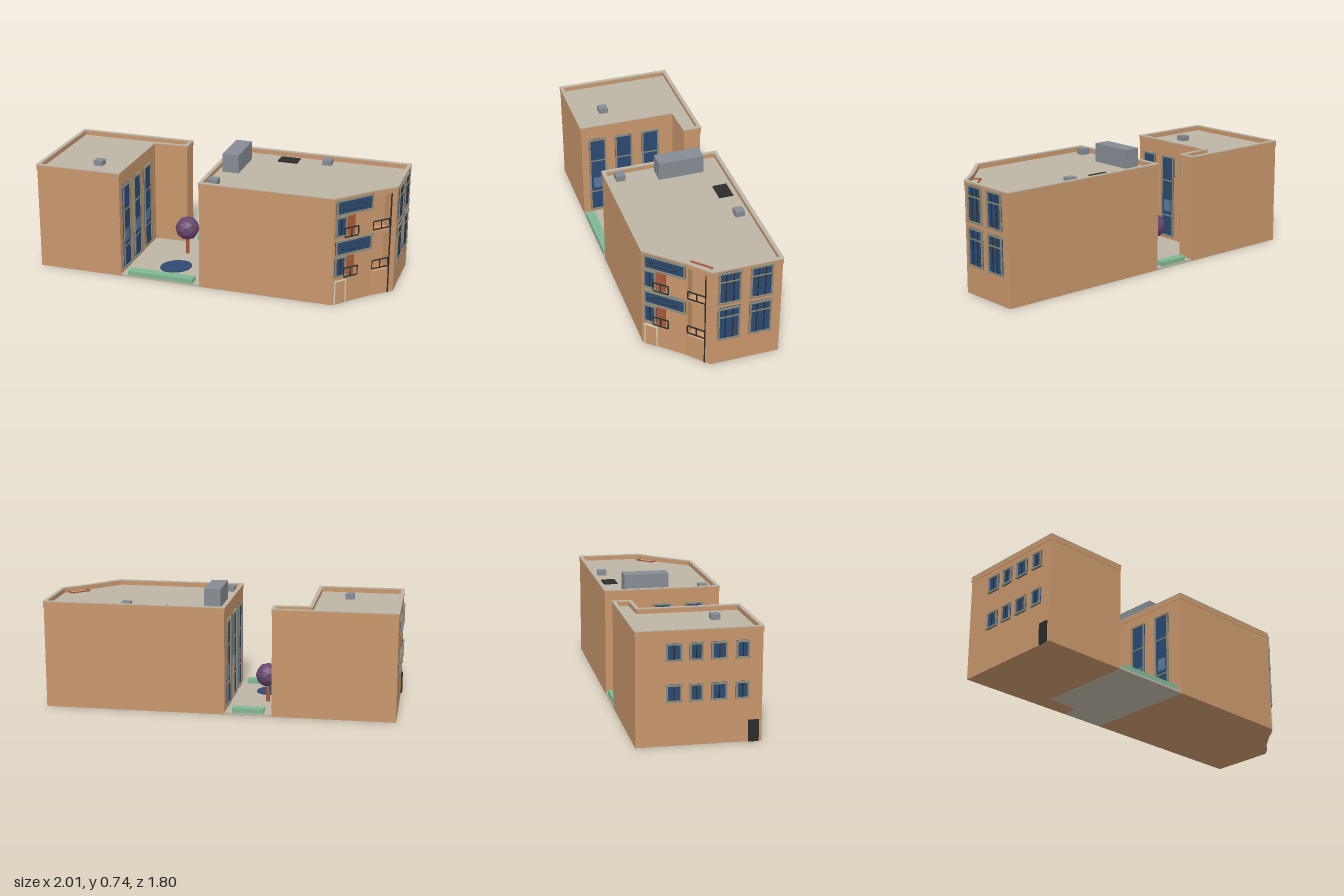
import * as THREE from 'three';

const mat = (color) => new THREE.MeshStandardMaterial({ color, flatShading: true });
const M = {
  brick: mat(0xc9976c), deck: mat(0xbdb5a5), glass: mat(0x2a4a73), pale: mat(0x5b7ba0),
  frame: mat(0x8f8b78), dark: mat(0x2c2c2a), metal: mat(0x868c94), green: mat(0x7fb893),
  door: mat(0xa8593a), shrub: mat(0x68466c), pond: mat(0x2f4a70), white: mat(0xd8cdb8),
};
const ROOF = 0.62, TOP = 0.655;

// Plans are lists of [x, z] corners
const BACK = [[-0.5, -0.9], [-1, -0.4], [-0.63, -0.03], [-0.21, -0.45], [-0.055, -0.305], [0.02, -0.38]];
const FRONT = [[-0.28, 0.32], [0.285, 0.885], [0.55, 0.872], [0.71, 0.88], [0.995, 0.595], [0.22, -0.18]];
const COURT = [[-0.63, -0.03], [-0.28, 0.32], [0.22, -0.18], [0.02, -0.38], [-0.055, -0.305], [-0.21, -0.45]];

// Moves every edge of a plan outward by d (inward when negative)
function offset(pts, d) {
  const n = pts.length;
  const area = pts.reduce((s, p, i) => s + p[0] * pts[(i + 1) % n][1] - pts[(i + 1) % n][0] * p[1], 0);
  const k = Math.sign(area);
  const normal = (a, b) => {
    const dx = b[0] - a[0], dz = b[1] - a[1], l = Math.hypot(dx, dz);
    return [k * dz / l, -k * dx / l];
  };
  return pts.map((p, i) => {
    const n1 = normal(pts[(i + n - 1) % n], p), n2 = normal(p, pts[(i + 1) % n]);
    const s = d / (1 + n1[0] * n2[0] + n1[1] * n2[1]);
    return [p[0] + (n1[0] + n2[0]) * s, p[1] + (n1[1] + n2[1]) * s];
  });
}

function prism(parent, name, pts, y0, y1, material, hole) {
  const vec = (list) => list.map(([x, z]) => new THREE.Vector2(x, -z));
  const shape = new THREE.Shape(vec(pts));
  if (hole) shape.holes.push(new THREE.Path(vec(hole)));
  const geo = new THREE.ExtrudeGeometry(shape, { depth: y1 - y0, bevelEnabled: false });
  geo.rotateX(-Math.PI / 2).translate(0, y0, 0);
  return add(parent, name, geo, material);
}

function add(parent, name, geo, material, x = 0, y = 0, z = 0) {
  const mesh = new THREE.Mesh(geo, material);
  mesh.name = name;
  mesh.position.set(x, y, z);
  parent.add(mesh);
  return mesh;
}

const box = (parent, name, w, h, d, x, y, z, material) =>
  add(parent, name, new THREE.BoxGeometry(w, h, d), material, x, y, z);

// Group lying on a wall: x runs from a to b, z points outward
function wall(parent, name, a, b) {
  const g = new THREE.Group();
  g.name = name;
  g.position.set(a[0], 0, a[1]);
  g.rotation.y = Math.atan2(a[1] - b[1], b[0] - a[0]);
  g.userData.length = Math.hypot(b[0] - a[0], b[1] - a[1]);
  parent.add(g);
  return g;
}

// Glazed window with frame, cols panes across, and crossbars at the given heights
function windowUnit(parent, x, y0, y1, w, cols = 1, bars = [], t = 0.01) {
  const g = new THREE.Group();
  g.name = 'window';
  g.position.x = x;
  parent.add(g);
  const h = y1 - y0, ym = (y0 + y1) / 2;
  box(g, 'glass', w, h, 0.008, 0, ym, 0.002, M.glass);
  for (const s of [-1, 1]) {
    box(g, 'jamb', t, h, 0.016, s * (w - t) / 2, ym, 0.003, M.frame);
    box(g, s < 0 ? 'sill' : 'lintel', w + 0.006, t, 0.02, 0, ym + s * (h - t) / 2, 0.003, M.frame);
  }
  for (let i = 1; i < cols; i++) box(g, 'mullion', 0.006, h, 0.014, w * (i / cols - 0.5), ym, 0.002, M.dark);
  for (const y of bars) box(g, 'crossbar', w, 0.007, 0.014, 0, y, 0.003, M.frame);
  return g;
}

// Open balcony railing
function railing(parent, x0, x1, y0, y1, z) {
  const w = x1 - x0, xm = (x0 + x1) / 2;
  for (const y of [y0, y1]) box(parent, 'rail', w, 0.006, 0.006, xm, y, z, M.dark);
  for (let i = 0; i <= 2; i++) box(parent, 'railPost', 0.005, y1 - y0, 0.005, x0 + w * i / 2, (y0 + y1) / 2, z, M.dark);
}

function block(parent, name, plan, body) {
  const g = new THREE.Group();
  g.name = name;
  parent.add(g);
  prism(g, 'walls', body, 0, ROOF, M.brick);
  prism(g, 'roofDeck', offset(plan, -0.01), ROOF - 0.006, ROOF + 0.003, M.deck);
  prism(g, 'parapet', offset(plan, 0.003), ROOF, TOP - 0.005, M.brick, offset(plan, -0.014));
  prism(g, 'coping', offset(plan, 0.005), TOP - 0.005, TOP, M.deck, offset(plan, -0.017));
  return g;
}

// Box turned to follow the building's long axis
function turned(parent, name, w, h, d, x, y, z, material) {
  const m = box(parent, name, w, h, d, x, y + h / 2, z, material);
  m.rotation.y = -Math.PI / 4;
  return m;
}

export function createModel() {
  const model = new THREE.Group();
  model.name = 'building';

  // Two wings; the front one has a balcony recess in its facade
  const back = block(model, 'backWing', BACK, BACK);
  const recess = [[0.56, 0.872], [0.56, 0.815], [0.67, 0.815], [0.67, 0.878]];
  const front = block(model, 'frontWing', FRONT, [...FRONT.slice(0, 3), ...recess, ...FRONT.slice(3)]);
  prism(front, 'recessBase', recess, 0, 0.15, M.brick);
  prism(front, 'balconyFloor', recess, 0.39, 0.405, M.brick);
  for (const y of [0.168, 0.412]) railing(front, 0.56, 0.67, y, y + 0.05, 0.872);
  box(front, 'recessPost', 0.006, 0.62, 0.006, 0.672, 0.31, 0.88, M.dark);
  box(front, 'roofCurb', 0.13, 0.008, 0.008, 0.615, 0.626, 0.815, M.door);
  for (const x of [0.553, 0.677]) box(front, 'roofCurb', 0.008, 0.008, 0.055, x, 0.626, 0.84, M.door);

  // Tall courtyard windows on the facing walls
  const courtWalls = [
    [wall(back, 'backCourtWall', BACK[2], BACK[3]), [0.1, 0.27, 0.445]],
    [wall(front, 'frontCourtWall', FRONT[5], FRONT[0]), [0.13, 0.35, 0.55]],
  ];
  for (const [g, xs] of courtWalls) for (const x of xs) {
    const unit = windowUnit(g, x, 0.03, 0.56, 0.11, 1, [0.17, 0.4]);
    box(unit, 'palePane', 0.06, 0.075, 0.01, 0, 0.235, 0.002, M.pale);
  }

  // Two-storey windows on the angled front wall
  const side = wall(front, 'angledWall', FRONT[3], FRONT[4]);
  for (const x of [0.1, 0.283]) {
    windowUnit(side, x, 0.425, 0.64, 0.13, 3, [0.575]);
    windowUnit(side, x, 0.17, 0.395, 0.13, 3, [0.33]);
  }

  // Front facade: wide windows, narrow windows, balcony doors and entrance
  const face = wall(front, 'facade', FRONT[1], FRONT[2]);
  for (const y of [0.165, 0.41]) {
    windowUnit(face, 0.14, y + 0.135, y + 0.23, 0.25);
    const ring = add(face, 'ovalPanel', new THREE.TorusGeometry(0.08, 0.006, 6, 20), M.dark, 0.135, y + 0.178, 0.007);
    ring.scale.set(1, 0.2, 0.6);
    windowUnit(face, 0.05, y + 0.005, y + 0.13, 0.075, 2);
    box(face, 'balconyDoor', 0.055, 0.12, 0.01, 0.117, y + 0.065, 0.002, M.door);
    railing(face, 0.072, 0.165, y, y + 0.055, 0.012);
  }
  box(face, 'entranceDoor', 0.07, 0.14, 0.006, 0.055, 0.07, 0.001, M.brick);
  for (const x of [0.018, 0.092]) box(face, 'entranceJamb', 0.007, 0.145, 0.012, x, 0.0725, 0.002, M.white);
  box(face, 'entranceLintel', 0.08, 0.007, 0.012, 0.055, 0.143, 0.002, M.white);

  // Rear wall: two rows of small windows and a service door
  const rear = wall(back, 'rearWall', BACK[0], BACK[1]);
  [0.3, 0.475, 0.655, 0.84].forEach((t, i) => {
    for (const y of [0.25, 0.48]) windowUnit(rear, t * rear.userData.length, y, y + 0.1, i % 2 ? 0.075 : 0.088, 2);
  });
  box(rear, 'serviceDoor', 0.06, 0.125, 0.012, 0.66, 0.0625, 0.002, M.dark);

  // Courtyard with planters, pond and shrub
  const court = new THREE.Group();
  court.name = 'courtyard';
  model.add(court);
  prism(court, 'paving', COURT, 0, 0.012, M.deck);
  turned(court, 'planter', 0.41, 0.028, 0.056, -0.435, 0.012, 0.125, M.green);
  turned(court, 'planter', 0.19, 0.028, 0.056, 0.098, 0.012, -0.255, M.green);
  const pond = add(court, 'pond', new THREE.CylinderGeometry(0.1, 0.1, 0.008, 20), M.pond, -0.29, 0.015, 0.022);
  pond.scale.z = 0.83;
  add(court, 'shrubTrunk', new THREE.CylinderGeometry(0.01, 0.012, 0.12, 6), M.door, -0.135, 0.07, -0.14);
  add(court, 'shrub', new THREE.IcosahedronGeometry(0.074, 1), M.shrub, -0.135, 0.18, -0.14);

  // Rooftop equipment
  turned(model, 'rooftopUnit', 0.1, 0.115, 0.275, 0.1, ROOF, 0.073, M.metal);
  turned(model, 'skylight', 0.12, 0.01, 0.085, 0.42, ROOF, 0.14, M.dark);
  for (const [x, z, h] of [[-0.635, -0.31, 0.035], [-0.172, 0.3, 0.04], [0.595, 0.3, 0.035]])
    turned(model, 'roofVent', 0.055, h, 0.055, x, ROOF, z, M.metal);

  return model;
}
